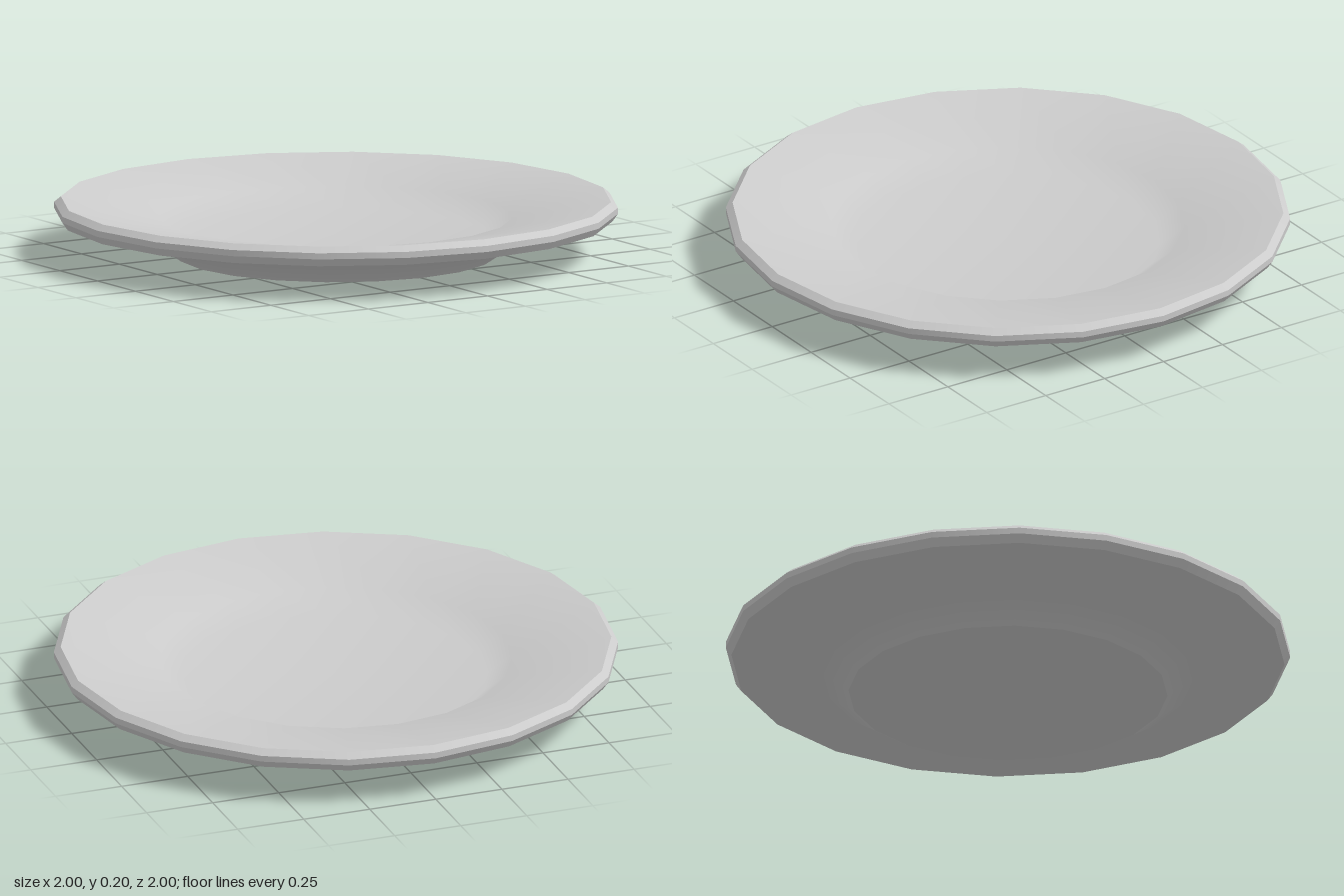
import * as THREE from 'three';

const SIDES = 20;

export function createModel() {
  const plate = new THREE.Group();
  plate.name = 'plate';
  const material = new THREE.MeshStandardMaterial({ color: 0xcccccc });

  // Each band is smooth within itself; the seams between bands stay sharp.
  // Profiles run [radius, height] from the base centre, around the rim, to the inner centre.
  const bands = {
    base: [[0, 0], [0.565, 0]],
    underside: [[0.565, 0], [0.66, 0.063], [0.98, 0.13]],
    rimLower: [[0.98, 0.13], [1, 0.158]],
    rimEdge: [[1, 0.158], [1, 0.18]],
    rimUpper: [[1, 0.18], [0.976, 0.2]],
    dish: [[0.976, 0.2], [0.625, 0.138], [0.54, 0.071], [0, 0.071]],
  };

  for (const [name, profile] of Object.entries(bands)) {
    const points = profile.map(([r, y]) => new THREE.Vector2(r, y));
    const mesh = new THREE.Mesh(new THREE.LatheGeometry(points, SIDES), material);
    mesh.name = name;
    plate.add(mesh);
  }
  return plate;
}
